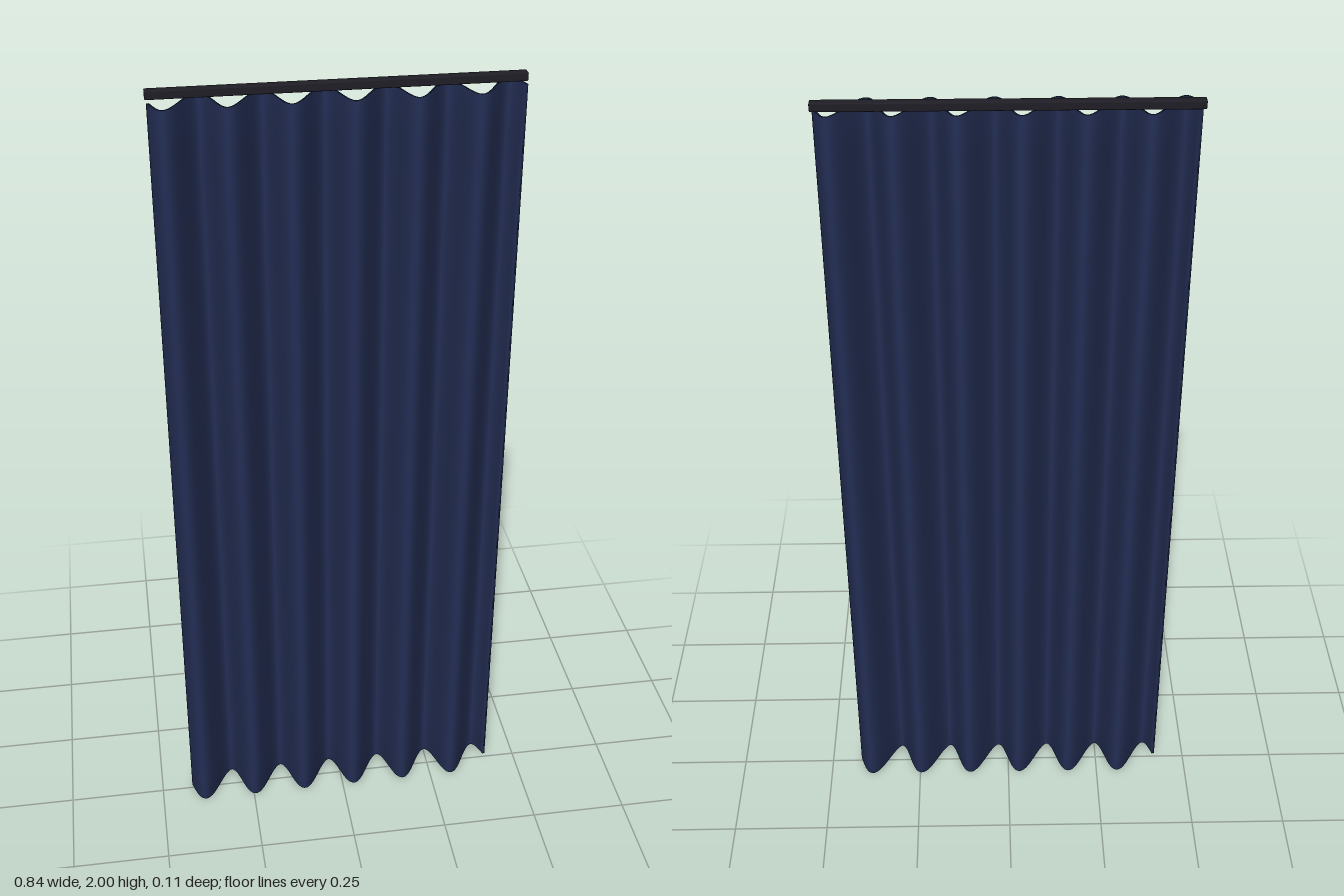
import * as THREE from 'three';
import { RoundedBoxGeometry } from 'three/addons/geometries/RoundedBoxGeometry.js';

const FOLDS = 6, SEGMENTS = 144, ROWS = 20, HALF_THICK = 0.0035;

// Point on the pleat centre line, t running 0..1 across the cloth
function pleat(t, amplitude) {
  const a = t * FOLDS * Math.PI * 2;
  return new THREE.Vector2(-0.415 + 0.83 * t - 0.006 * Math.sin(a), amplitude * Math.sin(a));
}

// Closed thin cloth: each row is a loop along the front and back along the rear
function clothGeometry() {
  const positions = [], index = [];
  const side = SEGMENTS + 1, loop = side * 2;
  for (let r = 0; r <= ROWS; r++) {
    const v = r / ROWS;
    const amplitude = 0.0525 - 0.0015 * v;
    for (let k = 0; k < loop; k++) {
      const front = k < side;
      const t = (front ? k : loop - 1 - k) / SEGMENTS;
      const p = pleat(t, amplitude);
      const d = pleat(t + 0.0005, amplitude).sub(pleat(t - 0.0005, amplitude)).normalize();
      const offset = front ? HALF_THICK : -HALF_THICK;
      // the hem dips once per fold
      const hem = 0.01 + 0.006 * Math.cos(t * FOLDS * Math.PI * 2);
      positions.push(p.x - d.y * offset, THREE.MathUtils.lerp(hem, 1.977, v), p.y + d.x * offset);
    }
  }
  for (let r = 0; r < ROWS; r++) {
    for (let k = 0; k < loop; k++) {
      const n = (k + 1) % loop;
      const a = r * loop + k, b = r * loop + n;
      index.push(a, b, b + loop, a, b + loop, a + loop);
    }
  }
  // hem and top edges
  const top = ROWS * loop;
  for (let k = 0; k < SEGMENTS; k++) {
    const f0 = k, f1 = k + 1, b0 = loop - 1 - k, b1 = loop - 2 - k;
    index.push(f0, b0, b1, f0, b1, f1);
    index.push(top + f0, top + f1, top + b1, top + f0, top + b1, top + b0);
  }
  const g = new THREE.BufferGeometry();
  g.setAttribute('position', new THREE.Float32BufferAttribute(positions, 3));
  g.setIndex(index);
  g.computeVertexNormals();
  return g;
}

export function createModel() {
  const group = new THREE.Group();
  group.name = 'curtain';

  const navyCloth = new THREE.MeshStandardMaterial({ color: 0x232e54 });
  navyCloth.name = 'navyCloth';
  const darkMetal = new THREE.MeshStandardMaterial({ color: 0x201e26 });
  darkMetal.name = 'darkMetal';

  // Pleated cloth
  const cloth = new THREE.Mesh(clothGeometry(), navyCloth);
  cloth.name = 'pleatedCloth';
  group.add(cloth);

  // Straight rail above the cloth
  const rail = new THREE.Mesh(new RoundedBoxGeometry(0.842, 0.02, 0.023, 2, 0.003), darkMetal);
  rail.name = 'rail';
  rail.position.set(0, 1.99, -0.0215);
  group.add(rail);

  return group;
}
